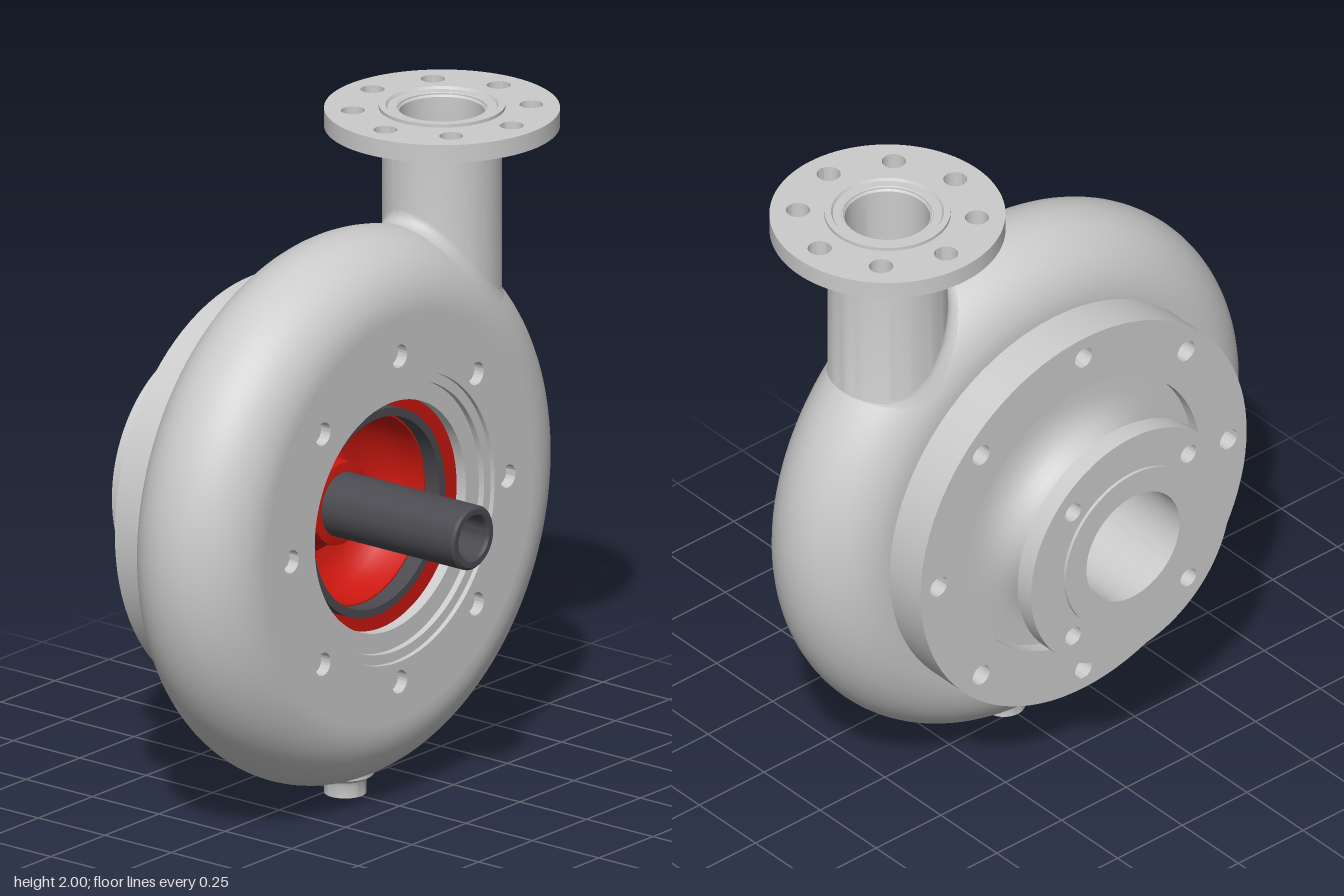
import * as THREE from 'three';
import { toCreasedNormals } from 'three/addons/utils/BufferGeometryUtils.js';

const AXIS_Y = 0.885;                    // height of the shaft axis
const OUT = { x: 0.455, z: 0.04 };       // centre of the discharge pipe
const RC = 0.625, ZC = 0.04;             // centre of the casing section
const grey = new THREE.MeshStandardMaterial({ color: 0xcccccc });
const red = new THREE.MeshStandardMaterial({ color: 0xcc1810 });
const dark = new THREE.MeshStandardMaterial({ color: 0x4a4a50 });

function mesh(name, geometry, material = grey, crease = 0.5) {
  const m = new THREE.Mesh(toCreasedNormals(geometry, crease), material);
  m.name = name;
  return m;
}
const vecs = (pts) => pts.map(([r, z]) => new THREE.Vector2(r, z));

// Solid of revolution about z; profile (r, z) runs counter-clockwise
function turned(pts, segments = 96) {
  return new THREE.LatheGeometry(vecs(pts), segments).rotateX(Math.PI / 2);
}
const closed = (pts) => [...pts, pts[0]];

// Semicircular casing section from back (-z) to front (+z), or reversed
function section(rad, reverse) {
  const pts = [];
  for (let i = 0; i <= 28; i++) {
    const a = -Math.PI / 2 + Math.PI * i / 28;
    pts.push([RC + rad * Math.cos(a), ZC + rad * Math.sin(a)]);
  }
  return reverse ? pts.reverse() : pts;
}

// Drilled ring from z0 to z1
function drilledRing(rOut, rIn, z0, z1, count, rBolts, rHole, turn = 0) {
  const shape = new THREE.Shape().absarc(0, 0, rOut, 0, Math.PI * 2);
  shape.holes.push(new THREE.Path().absarc(0, 0, rIn, 0, Math.PI * 2, true));
  for (let i = 0; i < count; i++) {
    const a = turn + i / count * Math.PI * 2;
    shape.holes.push(new THREE.Path().absarc(rBolts * Math.cos(a), rBolts * Math.sin(a), rHole, 0, Math.PI * 2, true));
  }
  return new THREE.ExtrudeGeometry(shape, { depth: z1 - z0, bevelEnabled: false, curveSegments: 48 }).translate(0, 0, z0);
}

// Remove the casing wall where the discharge pipe opens into it
function cutOutlet(geometry) {
  const p = geometry.toNonIndexed().attributes.position, kept = [];
  for (let i = 0; i < p.count; i += 3) {
    const c = [0, 1, 2].map((k) => (p.getComponent(i, k) + p.getComponent(i + 1, k) + p.getComponent(i + 2, k)) / 3);
    if (c[1] > 0.465 && Math.hypot(c[0] - OUT.x, c[2] - OUT.z) < 0.14) continue;
    for (let j = i; j < i + 3; j++) kept.push(p.getX(j), p.getY(j), p.getZ(j));
  }
  return new THREE.BufferGeometry().setAttribute('position', new THREE.Float32BufferAttribute(kept, 3));
}

// Height of the casing wall above a point (x, z)
function wallTop(x, z, rad) {
  const r = RC + Math.sqrt(Math.max(0, rad * rad - (z - ZC) ** 2));
  return AXIS_Y + Math.sqrt(r * r - x * x);
}

// Discharge pipe outside, flared into the casing mostly on its inner side
function pipeOutside() {
  const rows = 8;
  const g = new THREE.LatheGeometry(vecs([...Array(rows + 2).keys()].map((k) => [0.175, k])), 72);
  const p = g.attributes.position;
  for (let i = 0; i < p.count; i++) {
    const k = p.getY(i), phi = Math.min(k / rows, 1) * Math.PI / 2;
    const s = 0.1 + 0.45 * (1 - p.getX(i) / 0.175);
    const f = 1 + 0.055 * s * (1 - Math.sin(phi)) / 0.175;
    const x = OUT.x + p.getX(i) * f, z = OUT.z + p.getZ(i) * f;
    const y = k > rows ? 1.94 : wallTop(x, z, 0.21) + 0.05 * s * (1 - Math.cos(phi)) - 0.003;
    p.setXYZ(i, x, y, z);
  }
  return g;
}

// Discharge bore, chamfered at the mouth and flared into the casing
function pipeBore() {
  const g = new THREE.LatheGeometry(vecs([[0.185, 1.99], [0.185, 2], [0.165, 2], [0.16, 1.992], [0.135, 1.992], [0.125, 1.98], [0.125, 0.03], [0.155, 0]]), 64);
  const p = g.attributes.position;
  for (let i = 0; i < p.count; i++) {
    const x = p.getX(i) + OUT.x, z = p.getZ(i) + OUT.z, y = p.getY(i);
    p.setXYZ(i, x, y < 1 ? y + wallTop(x, z, 0.165) : y, z);
  }
  return g;
}

// Faces of the flow passage through the impeller, (r, z)
const hubFace = [[0.1, -0.12], [0.15, -0.11], [0.24, -0.065], [0.32, 0.03], [0.4, 0.075], [0.5, 0.085]];
const shroudFace = [[0.19, -0.22], [0.2, -0.16], [0.24, -0.105], [0.3, -0.06], [0.4, -0.02], [0.5, -0.005]];
function along(pts, r) {
  let i = 0;
  while (i < pts.length - 2 && r > pts[i + 1][0]) i++;
  const [a, b] = [pts[i], pts[i + 1]];
  return a[1] + (b[1] - a[1]) * (r - a[0]) / (b[0] - a[0]);
}

// Backward-curved vane spanning the passage
function vane(start) {
  const g = new THREE.BoxGeometry(1, 1, 1, 16, 1, 1), p = g.attributes.position;
  for (let i = 0; i < p.count; i++) {
    const t = p.getX(i) + 0.5, r = 0.2 + 0.295 * t;
    const a = start - 1.1 * t - p.getZ(i) * 0.02 / r;
    const lo = along(shroudFace, r) - 0.008, hi = along(hubFace, r) + 0.008;
    p.setXYZ(i, r * Math.cos(a), r * Math.sin(a), lo + (hi - lo) * (p.getY(i) + 0.5));
  }
  return g;
}

export function createModel() {
  const model = new THREE.Group();
  model.name = 'centrifugalPump';
  const core = new THREE.Group();
  core.name = 'rotationalParts';
  core.position.y = AXIS_Y;
  model.add(core);

  // Hollow casing with stepped front opening and blind tapped holes
  const casing = turned(closed([
    [0.46, -0.17], ...section(0.21), [0.62, 0.25], [0.62, 0.215], [0.46, 0.215], [0.46, 0.25],
    [0.44, 0.25], [0.44, 0.235], [0.41, 0.235], [0.41, 0.215], [0.35, 0.215], [0.35, 0.18],
    [0.44, 0.18], [0.48, 0.205], ...section(0.165, true), [0.46, -0.125],
  ]), 192);
  core.add(mesh('casing', cutOutlet(casing)));
  core.add(mesh('casingFrontFace', drilledRing(0.622, 0.458, 0.215, 0.25, 8, 0.502, 0.035)));

  // Suction cover: drilled rim, recessed web and flared neck
  core.add(mesh('coverRim', drilledRing(0.63, 0.45, -0.31, -0.172, 8, 0.56, 0.033)));
  core.add(mesh('suctionNeck', turned(closed([
    [0.18, -0.53], [0.26, -0.53], [0.26, -0.515], [0.25, -0.515], [0.25, -0.4], [0.252, -0.37], [0.262, -0.335],
    [0.28, -0.308], [0.305, -0.288], [0.34, -0.275], [0.38, -0.27], [0.455, -0.27],
    [0.455, -0.172], [0.47, -0.165], [0.47, -0.125], [0.36, -0.125], [0.25, -0.17], [0.25, -0.24], [0.18, -0.24],
  ]))));
  core.add(mesh('suctionFlange', drilledRing(0.385, 0.2, -0.52, -0.46, 4, 0.315, 0.03, Math.PI / 4)));

  // Closed impeller
  const impeller = new THREE.Group();
  impeller.name = 'impeller';
  impeller.add(mesh('impellerHub', turned(closed([
    ...hubFace, [0.5, 0.11], [0.285, 0.11], [0.28, 0.05], [0.265, 0.01], [0.235, -0.025], [0.2, -0.045],
    [0.16, -0.055], [0.14, -0.045], [0.13, -0.02], [0.125, 0.03], [0.1, 0.035], [0.09, 0.035], [0.09, -0.12],
  ])), red));
  impeller.add(mesh('impellerShroud', turned(closed([
    [0.215, -0.22], [0.22, -0.18], [0.25, -0.135], [0.31, -0.085], [0.4, -0.045], [0.5, -0.03],
    ...[...shroudFace].reverse(),
  ])), red));
  for (let i = 0; i < 6; i++) impeller.add(mesh('impellerVane', vane(i * Math.PI / 3), red));
  impeller.add(mesh('wearRing', turned(closed([[0.29, 0.1], [0.315, 0.1], [0.315, 0.165], [0.29, 0.165]])), dark));
  core.add(impeller);

  // Hollow shaft with an inner rod held by four keys
  core.add(mesh('shaft', turned(closed([
    [0.065, -0.14], [0.097, -0.14], [0.097, 0.522], [0.089, 0.53], [0.072, 0.53], [0.065, 0.522],
  ]), 48), dark));
  core.add(mesh('shaftRod', turned([
    [0, -0.16], [0.052, -0.16], [0.052, 0.44], [0.036, 0.44], [0.036, 0.4], [0, 0.4],
  ], 32), dark));
  for (let i = 0; i < 4; i++) {
    const a = Math.PI / 4 + i * Math.PI / 2;
    core.add(mesh('rodKey', new THREE.BoxGeometry(0.026, 0.02, 0.4).translate(0.058, 0, 0.2).rotateZ(a), dark));
  }
  const pin = new THREE.MeshStandardMaterial({ color: 0x151518 });
  core.add(mesh('shaftPinHole', new THREE.CylinderGeometry(0.011, 0.011, 0.02, 20).rotateZ(Math.PI / 2).translate(0.0875, -0.01, 0.505), pin));

  // Discharge pipe and flange
  model.add(mesh('dischargePipe', pipeOutside()));
  model.add(mesh('dischargeBore', pipeBore()));
  const flange = mesh('dischargeFlange', drilledRing(0.345, 0.13, 1.935, 1.99, 8, 0.262, 0.035).rotateX(-Math.PI / 2));
  flange.position.set(OUT.x, 0, OUT.z);
  model.add(flange);

  // Drain boss under the casing
  const drain = mesh('drainBoss', new THREE.LatheGeometry(vecs([[0, 0], [0.062, 0], [0.062, 0.035], [0.067, 0.048], [0.085, 0.06], [0.085, 0.075]]), 40));
  drain.position.z = ZC + 0.005;
  model.add(drain);
  return model;
}
